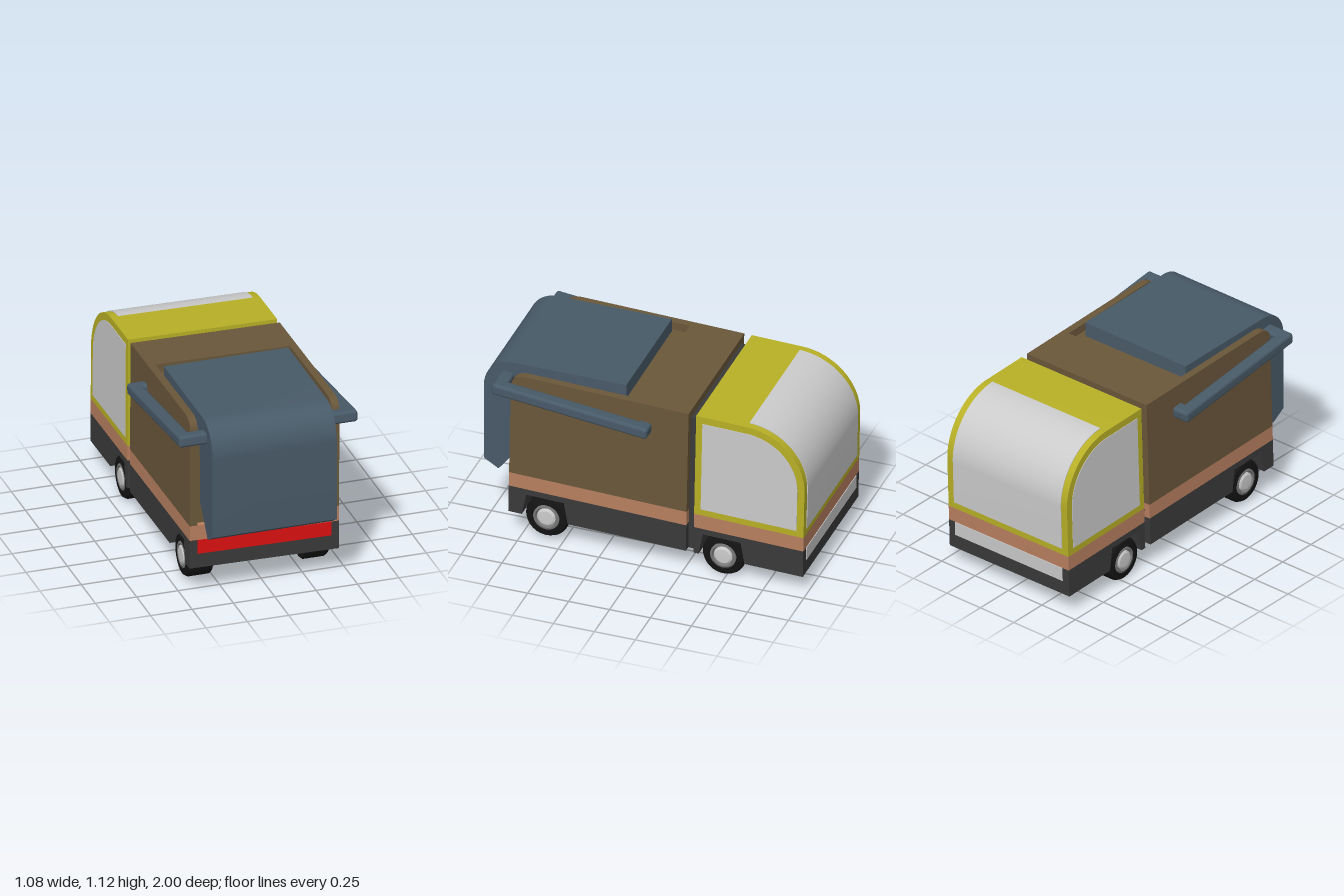
import * as THREE from 'three';
import { toCreasedNormals } from 'three/addons/utils/BufferGeometryUtils.js';
import { RoundedBoxGeometry } from 'three/addons/geometries/RoundedBoxGeometry.js';

const mat = (color) => new THREE.MeshStandardMaterial({ color });

export function createModel() {
  const M = {
    grey: mat(0xcccccc), yellow: mat(0xb8b026), brown: mat(0x6a573a), blue: mat(0x485a68),
    stripe: mat(0xb98060), dark: mat(0x3a3a3a), red: mat(0xdd1111), black: mat(0x141414),
  };
  const model = new THREE.Group();
  model.name = 'garbageTruck';

  function add(parent, name, geo, material, x = 0, y = 0, z = 0) {
    const mesh = new THREE.Mesh(geo, material);
    mesh.name = name;
    mesh.position.set(x, y, z);
    parent.add(mesh);
    return mesh;
  }
  // Box given by its z and y ranges, centred on x
  const slab = (parent, name, material, width, z0, z1, y0, y1) =>
    add(parent, name, new THREE.BoxGeometry(width, y1 - y0, z1 - z0), material, 0, (y0 + y1) / 2, (z0 + z1) / 2);
  // Side profile in (z, y), extruded across x
  function profile(shape, width) {
    const geo = new THREE.ExtrudeGeometry(shape, { depth: width, bevelEnabled: false, curveSegments: 24 });
    geo.translate(0, 0, -width / 2);
    geo.rotateY(-Math.PI / 2);
    return toCreasedNormals(geo, 0.5);
  }
  const polygon = (pts) => new THREE.Shape(pts.map(([z, y]) => new THREE.Vector2(z, y)));

  // Body leans very slightly
  const body = new THREE.Group();
  body.name = 'body';
  body.rotation.set(-0.023, -0.006, -0.012);
  model.add(body);

  const W = 0.9, BACK = 0.825, SPLIT = -0.262, CAB = -0.308, NOSE = -0.978, TOP = 1.085;
  const BOTTOM = 0.145, ARCH = 0.283, SILL = 0.32, BELT = 0.412;

  // Chassis halves with wheel arches
  const chassisHalf = (z0, z1, c) => profile(polygon([
    [z0, BOTTOM], [c - 0.14, BOTTOM], [c - 0.115, ARCH], [c + 0.115, ARCH], [c + 0.14, BOTTOM],
    [z1, BOTTOM], [z1, SILL], [z0, SILL],
  ].filter(([z]) => z >= z0 && z <= z1)), W);
  add(body, 'rearChassis', chassisHalf(SPLIT, BACK, 0.602), M.dark);
  add(body, 'frontChassis', chassisHalf(NOSE, CAB, -0.48), M.dark);
  slab(body, 'connector', M.dark, 0.82, CAB - 0.01, SPLIT + 0.01, BOTTOM, 1.04);
  slab(body, 'underside', M.black, 0.7, -0.33, 0.45, BOTTOM - 0.003, BOTTOM + 0.02);

  // Coloured waist bands and light strips
  slab(body, 'rearStripe', M.stripe, W, SPLIT, BACK, SILL, BELT);
  slab(body, 'cabStripe', M.stripe, W, NOSE, CAB, SILL, BELT);
  slab(body, 'tailLight', M.red, 0.806, BACK - 0.02, BACK + 0.004, 0.234, SILL);
  slab(body, 'headLight', M.grey, 0.806, NOSE - 0.004, NOSE + 0.02, 0.234, SILL);

  // Cargo box: side walls with a rounded rear corner around a recessed core
  const wall = new THREE.Shape();
  wall.moveTo(SPLIT, BELT);
  wall.lineTo(BACK, BELT);
  wall.lineTo(BACK, TOP - 0.08);
  wall.quadraticCurveTo(BACK, TOP, BACK - 0.1, TOP);
  wall.lineTo(SPLIT, TOP);
  const wallGeo = profile(wall, 0.045);
  for (const s of [1, -1]) add(body, s > 0 ? 'leftWall' : 'rightWall', wallGeo, M.brown, s * 0.4275);
  add(body, 'cargoCore', profile(polygon([
    [SPLIT, BELT], [0.79, BELT], [0.79, 0.96], [0.72, 1.035], [0.055, 1.035], [0.055, TOP], [SPLIT, TOP],
  ]), 0.812), M.brown);

  // Cab and its windows share one rounded nose
  function cabShape(back, front, bottom, top, r) {
    const s = new THREE.Shape();
    s.moveTo(back, bottom);
    s.lineTo(back, top);
    s.lineTo(front + r, top);
    s.absellipse(front + r, top - r, r, r, Math.PI / 2, Math.PI, false);
    s.lineTo(front, bottom);
    return s;
  }
  add(body, 'cab', profile(cabShape(CAB, NOSE, BELT, TOP, 0.36), W), M.yellow);
  add(body, 'sideWindows', profile(cabShape(CAB - 0.04, NOSE + 0.043, 0.453, TOP - 0.045, 0.317), W + 0.006), M.grey);
  const glass = new THREE.Shape();
  glass.moveTo(-0.632, TOP - 0.1);
  glass.lineTo(-0.632, TOP + 0.004);
  glass.absellipse(NOSE + 0.36, TOP - 0.36, 0.364, 0.364, Math.PI / 2, Math.PI, false);
  glass.lineTo(NOSE - 0.004, 0.453);
  glass.lineTo(NOSE + 0.05, 0.453);
  add(body, 'windscreen', profile(glass, 0.812), M.grey);

  // Rear hopper cover
  const hopper = new THREE.Shape();
  hopper.moveTo(1.0, 0.44);
  hopper.lineTo(1.0, 0.93);
  hopper.bezierCurveTo(1.0, 1.04, 0.93, 1.125, 0.82, 1.125);
  hopper.lineTo(0.13, 1.125);
  hopper.lineTo(0.13, 1.0);
  hopper.lineTo(0.76, 0.95);
  hopper.lineTo(0.77, 0.57);
  hopper.lineTo(0.91, 0.385);
  add(model, 'hopper', profile(hopper, 0.75), M.blue);

  // Lifting frame
  const frame = new THREE.Group();
  frame.name = 'liftFrame';
  frame.position.set(0, 0.973, 0.42);
  frame.rotation.x = -0.108;
  model.add(frame);
  const arm = new RoundedBoxGeometry(0.078, 0.07, 0.955, 3, 0.018);
  const bar = new RoundedBoxGeometry(1.08, 0.07, 0.078, 3, 0.018);
  for (const s of [1, -1]) {
    add(frame, s > 0 ? 'leftArm' : 'rightArm', arm, M.blue, s * 0.501);
    add(frame, s > 0 ? 'rearBar' : 'frontBar', bar, M.blue, 0, 0, s * 0.4385);
  }

  // Wheels: tyre, rim and hub turned from profiles along the axle
  const turned = (pts) => {
    const geo = new THREE.LatheGeometry(pts.map(([r, h]) => new THREE.Vector2(r, h)), 36);
    geo.rotateZ(-Math.PI / 2);
    return toCreasedNormals(geo, 0.5);
  };
  const tyre = turned([[0, 0], [0.122, 0], [0.13, 0.01], [0.13, 0.13], [0.12, 0.148], [0.085, 0.155], [0.078, 0.14], [0, 0.14]]);
  const rim = turned([[0.079, 0.13], [0.079, 0.152], [0.066, 0.155], [0.06, 0.142], [0, 0.142]]);
  const hub = turned([[0.056, 0.135], [0.056, 0.15], [0.045, 0.157], [0, 0.159]]);
  const axle = new THREE.CylinderGeometry(0.04, 0.04, 0.6, 20).rotateZ(Math.PI / 2);
  const rimMat = mat(0x777777);
  for (const [end, y, z] of [['rear', 0.152, 0.6], ['front', 0.133, -0.48]]) {
    add(model, end + 'Axle', axle, M.black, 0, y, z);
    for (const s of [1, -1]) {
      const wheel = new THREE.Group();
      wheel.name = end + (s > 0 ? 'LeftWheel' : 'RightWheel');
      wheel.position.set(s * 0.277, y, z);
      if (s < 0) wheel.rotation.y = Math.PI;
      add(wheel, 'tyre', tyre, M.black);
      add(wheel, 'rim', rim, rimMat);
      add(wheel, 'hub', hub, M.grey);
      model.add(wheel);
    }
  }
  return model;
}
